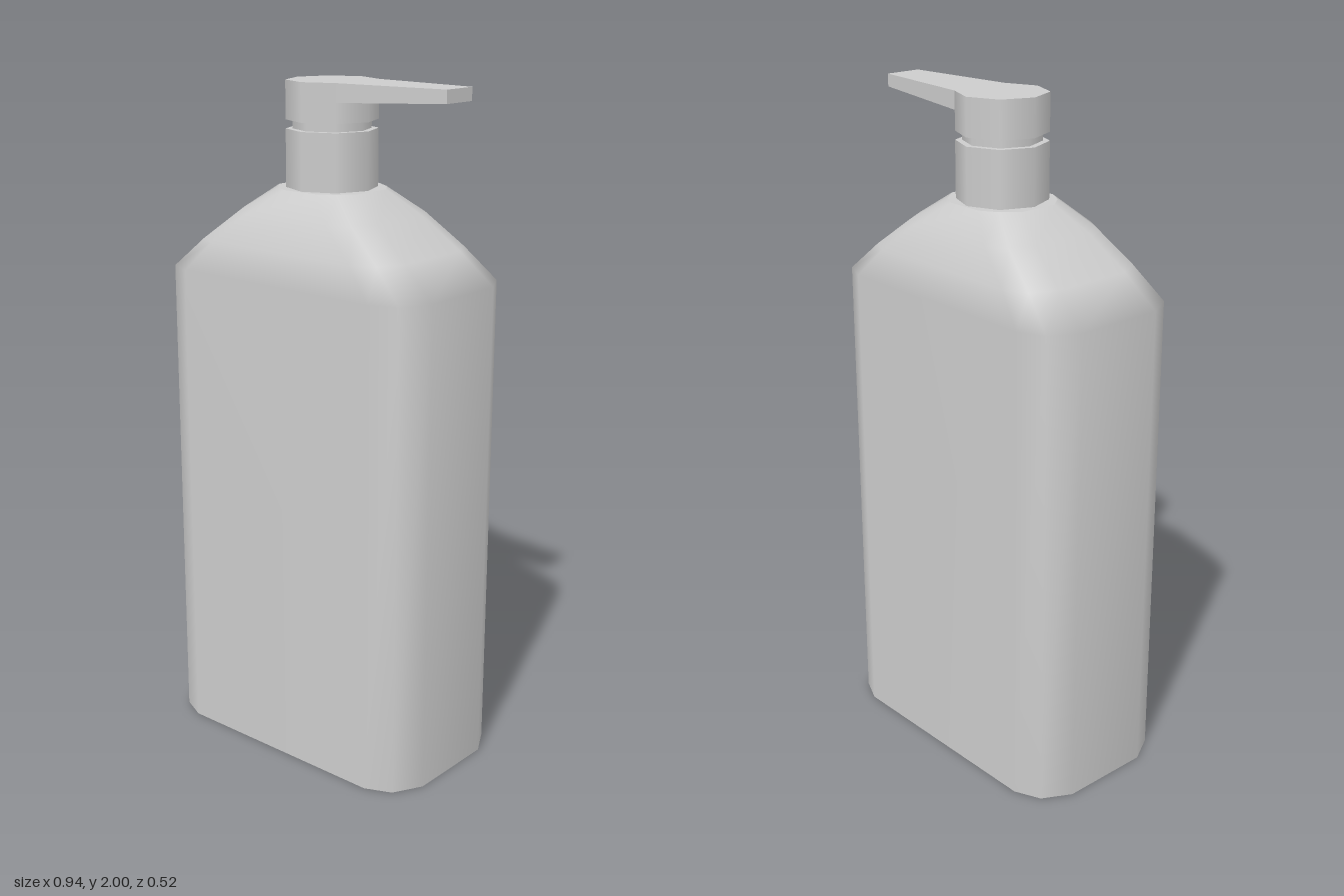
import * as THREE from 'three';

const plastic = new THREE.MeshStandardMaterial({ color: 0xcccccc });
plastic.name = 'greyPlastic';

function part(name, geometry, y = 0) {
  const mesh = new THREE.Mesh(geometry, plastic);
  mesh.name = name;
  mesh.position.y = y;
  return mesh;
}

// Twelve-point outline mirrored from one quarter, running from +x towards +z
function outline(quarter) {
  const back = [...quarter].reverse();
  return [
    ...quarter,
    ...back.map(([x, z]) => [-x, z]),
    ...quarter.map(([x, z]) => [-x, -z]),
    ...back.map(([x, z]) => [x, -z]),
  ];
}

// Smooth wall through stacked rings of equal point count
function loft(rings) {
  const n = rings[0].points.length;
  const pos = [], index = [];
  for (const { y, points } of rings) for (const [x, z] of points) pos.push(x, y, z);
  for (let r = 0; r < rings.length - 1; r++) {
    for (let i = 0; i < n; i++) {
      const a = r * n + i, b = r * n + (i + 1) % n;
      index.push(a, a + n, b, b, a + n, b + n);
    }
  }
  const g = new THREE.BufferGeometry();
  g.setAttribute('position', new THREE.Float32BufferAttribute(pos, 3));
  g.setIndex(index);
  g.computeVertexNormals();
  return g;
}

// Flat lid over an outline, facing up or down
function cap(points, up) {
  const shape = new THREE.Shape(points.map(([x, z]) => new THREE.Vector2(x, up ? -z : z)));
  return new THREE.ShapeGeometry(shape).rotateX(up ? -Math.PI / 2 : Math.PI / 2);
}

// Spout: a tapering wedge with a flat top and a rising underside
function spoutGeometry() {
  const g = new THREE.BoxGeometry(1, 1, 1);
  const p = g.attributes.position;
  for (let i = 0; i < p.count; i++) {
    const outer = p.getX(i) > 0;
    p.setXYZ(i,
      outer ? 0.44 : 0.093,
      p.getY(i) > 0 ? 2 : outer ? 1.963 : 1.947,
      Math.sign(p.getZ(i)) * (outer ? 0.056 : 0.093));
  }
  const flat = g.toNonIndexed();
  flat.computeVertexNormals();
  return flat;
}

export function createModel() {
  const model = new THREE.Group();
  model.name = 'pumpBottle';

  // Bottle body with straight walls and a curved shoulder
  const base = outline([[0.47, 0.14], [0.423, 0.225], [0.345, 0.26]]);
  const top = outline([[0.15, 0.06], [0.11, 0.11], [0.06, 0.14]]);
  const rings = [
    { y: 0, points: base },
    { y: 1.45, points: base },
    { y: 1.54, points: outline([[0.365, 0.125], [0.325, 0.198], [0.26, 0.234]]) },
    { y: 1.63, points: outline([[0.25, 0.1], [0.21, 0.165], [0.15, 0.2]]) },
    { y: 1.7, points: top },
  ];
  const bottle = new THREE.Group();
  bottle.name = 'bottle';
  bottle.add(
    part('bottleWall', loft(rings)),
    part('bottleBottom', cap(base, false)),
    part('bottleTop', cap(top, true), 1.7),
  );
  model.add(bottle);

  // Collar, recessed stem and pump head, all eight-sided
  model.add(
    part('collar', new THREE.CylinderGeometry(0.132, 0.132, 0.17, 8), 1.78),
    part('pumpStem', new THREE.CylinderGeometry(0.112, 0.112, 0.06, 8), 1.88),
    part('pumpHead', new THREE.CylinderGeometry(0.132, 0.132, 0.11, 8), 1.945),
    part('spout', spoutGeometry()),
  );
  return model;
}
